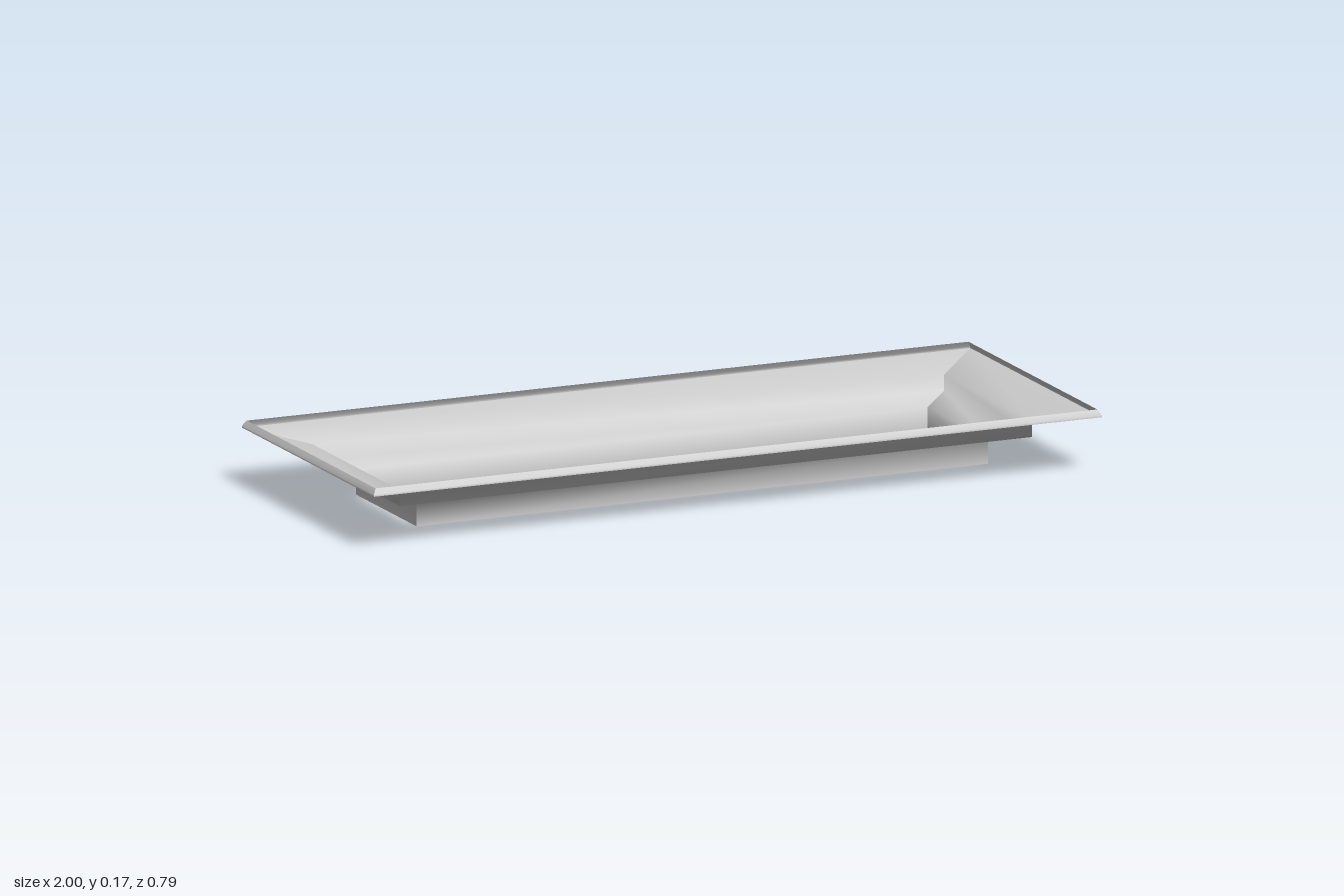
import * as THREE from 'three';

// Half size of the rectangular opening
const HALF_X = 0.785, HALF_Z = 0.182;

// Cross-sections as [distance out from the opening, height]
const FUNNEL = [[0, 0], [0, 0.064], [0.083, 0.079], [0.083, 0.12], [0.215, 0.146]];
const LIP = [[0.215, 0.146], [0.215, 0.151], [0.206, 0.165]];

// One mitred side: the profile swept along a straight edge facing +z
function sideGeometry(profile, halfLength, distance) {
  const positions = [], index = [];
  profile.forEach(([out, y], i) => {
    positions.push(-halfLength - out, y, distance + out, halfLength + out, y, distance + out);
    if (i > 0) {
      const a = 2 * i - 2;
      index.push(a, a + 1, a + 3, a, a + 3, a + 2);
    }
  });
  const geometry = new THREE.BufferGeometry();
  geometry.setAttribute('position', new THREE.Float32BufferAttribute(positions, 3));
  geometry.setIndex(index);
  geometry.computeVertexNormals(); // smooth along the profile, sharp at the mitres
  return geometry;
}

export function createModel() {
  const model = new THREE.Group();
  model.name = 'recessedFrame';
  const material = new THREE.MeshStandardMaterial({ color: 0xcccccc, side: THREE.DoubleSide });

  // Four sides, each with a stepped funnel wall and a bevelled outer lip
  ['front', 'left', 'back', 'right'].forEach((name, i) => {
    const long = i % 2 === 0;
    const size = long ? [HALF_X, HALF_Z] : [HALF_Z, HALF_X];
    const side = new THREE.Group();
    side.name = name + 'Side';
    side.rotation.y = i * Math.PI / 2;
    for (const [part, profile] of [['SteppedWall', FUNNEL], ['Lip', LIP]]) {
      const mesh = new THREE.Mesh(sideGeometry(profile, ...size), material);
      mesh.name = name + part;
      side.add(mesh);
    }
    model.add(side);
  });
  return model;
}
